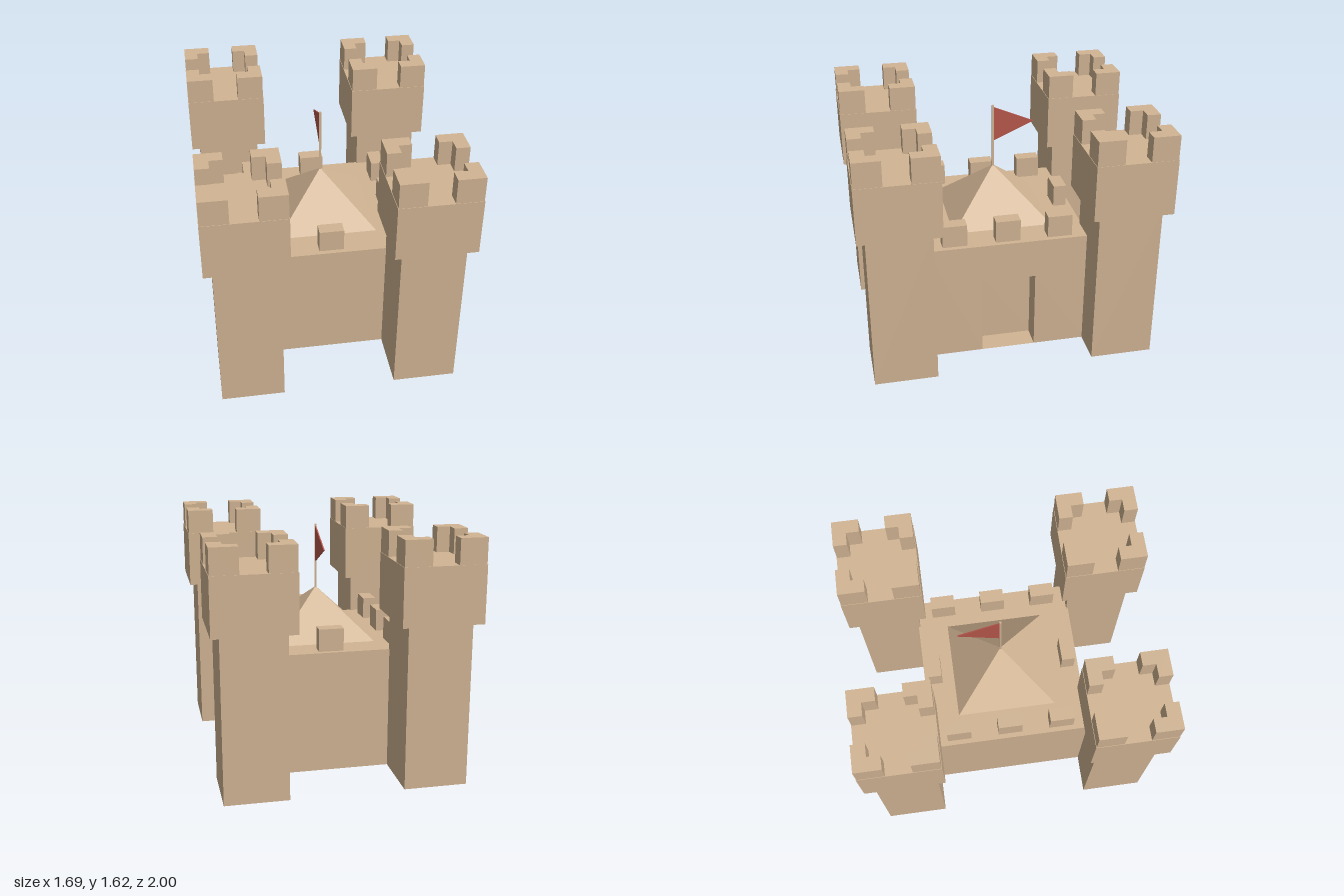
import * as THREE from 'three';

// Face order of BoxGeometry: +x, -x, +y, -y, +z, -z
const PX = 0, NY = 3;

export function createModel() {
  const stone = new THREE.MeshStandardMaterial({ color: 0xd2b594, side: THREE.DoubleSide });
  stone.name = 'tan stone';
  const cloth = new THREE.MeshStandardMaterial({ color: 0xb9584d, side: THREE.DoubleSide });
  cloth.name = 'red cloth';
  const castle = new THREE.Group();
  castle.name = 'castle';

  function add(parent, name, geometry, material = stone) {
    const mesh = new THREE.Mesh(geometry, material);
    mesh.name = name;
    parent.add(mesh);
    return mesh;
  }

  // Box given by its extents, with some faces left open
  function box(x0, x1, y0, y1, z0, z1, open = []) {
    const g = new THREE.BoxGeometry(x1 - x0, y1 - y0, z1 - z0);
    g.translate((x0 + x1) / 2, (y0 + y1) / 2, (z0 + z1) / 2);
    const index = Array.from(g.index.array);
    g.setIndex(index.filter((_, i) => !open.includes(Math.floor(i / 6))));
    g.clearGroups();
    return g;
  }

  // L-shaped corner merlon, its outer corner at (m, m) in plan
  const m = 0.26, arm = 0.175, thick = 0.09;
  const corner = new THREE.Shape([
    [m, m], [m - arm, m], [m - arm, m - thick],
    [m - thick, m - thick], [m - thick, m - arm], [m, m - arm],
  ].map(([x, y]) => new THREE.Vector2(x, y)));
  const merlonGeometry = new THREE.ExtrudeGeometry(corner, { depth: 0.165, bevelEnabled: false });
  merlonGeometry.rotateX(-Math.PI / 2);

  // Four corner towers: hollow shaft, overhanging head, corner merlons
  for (const x of [-0.582, 0.578]) {
    for (const z of [-0.737, 0.737]) {
      const tower = new THREE.Group();
      tower.name = 'tower';
      tower.position.set(x, 0, z);
      add(tower, 'towerShaft', box(-0.208, 0.208, 0, 1.085, -0.209, 0.209, [NY]));
      add(tower, 'towerHead', box(-0.263, 0.263, 1.085, 1.46, -0.263, 0.263));
      for (let i = 0; i < 4; i++) {
        const merlon = add(tower, 'towerMerlon', merlonGeometry);
        merlon.position.y = 1.46;
        merlon.rotation.y = i * Math.PI / 2;
      }
      castle.add(tower);
    }
  }

  // Keep, centred slightly off the middle, hollow and open below
  const keep = new THREE.Group();
  keep.name = 'keep';
  keep.position.x = 0.01;
  castle.add(keep);
  const half = 0.54, top = 0.82;
  add(keep, 'keepWalls', box(-half, half, 0, top, -half, half, [PX, NY]));

  // Gate wall with a doorway and the recess behind it
  const gate = new THREE.Shape([
    [-half, 0], [-0.185, 0], [-0.185, 0.55], [0.18, 0.55],
    [0.18, 0], [half, 0], [half, top], [-half, top],
  ].map(([x, y]) => new THREE.Vector2(x, y)));
  const gateGeometry = new THREE.ShapeGeometry(gate);
  gateGeometry.rotateY(Math.PI / 2);
  gateGeometry.translate(half, 0, 0);
  add(keep, 'gateWall', gateGeometry);
  add(keep, 'gateRecess', box(half - 0.15, half, 0, 0.55, -0.18, 0.185, [PX]));

  // Keep merlons: three on each side wall, one at front and back
  for (const s of [-1, 1]) {
    for (const z of [-0.35, 0, 0.355]) {
      const x = s * 0.463;
      add(keep, 'keepMerlon', box(x - 0.045, x + 0.045, top, 0.97, z - 0.082, z + 0.082));
    }
    const z = s * 0.463;
    add(keep, 'keepMerlon', box(-0.082, 0.082, top, 0.97, z - 0.045, z + 0.045));
  }

  // Pyramid roof
  let roof = new THREE.ConeGeometry(0.335 * Math.SQRT2, 0.325, 4, 1, true);
  roof.rotateY(Math.PI / 4);
  roof = roof.toNonIndexed();
  roof.computeVertexNormals();
  add(keep, 'roof', roof).position.y = top + 0.1625;

  // Flagpole and pennant flying towards the back
  add(keep, 'flagpole', box(-0.007, 0.007, 1.13, 1.58, -0.007, 0.007));
  const pennant = new THREE.Shape([
    new THREE.Vector2(0.007, 1.325), new THREE.Vector2(0.28, 1.447), new THREE.Vector2(0.007, 1.565),
  ]);
  const flag = new THREE.ExtrudeGeometry(pennant, { depth: 0.008, bevelEnabled: false });
  flag.translate(0, 0, -0.004);
  flag.rotateY(Math.PI / 2);
  add(keep, 'flag', flag, cloth);

  return castle;
}
